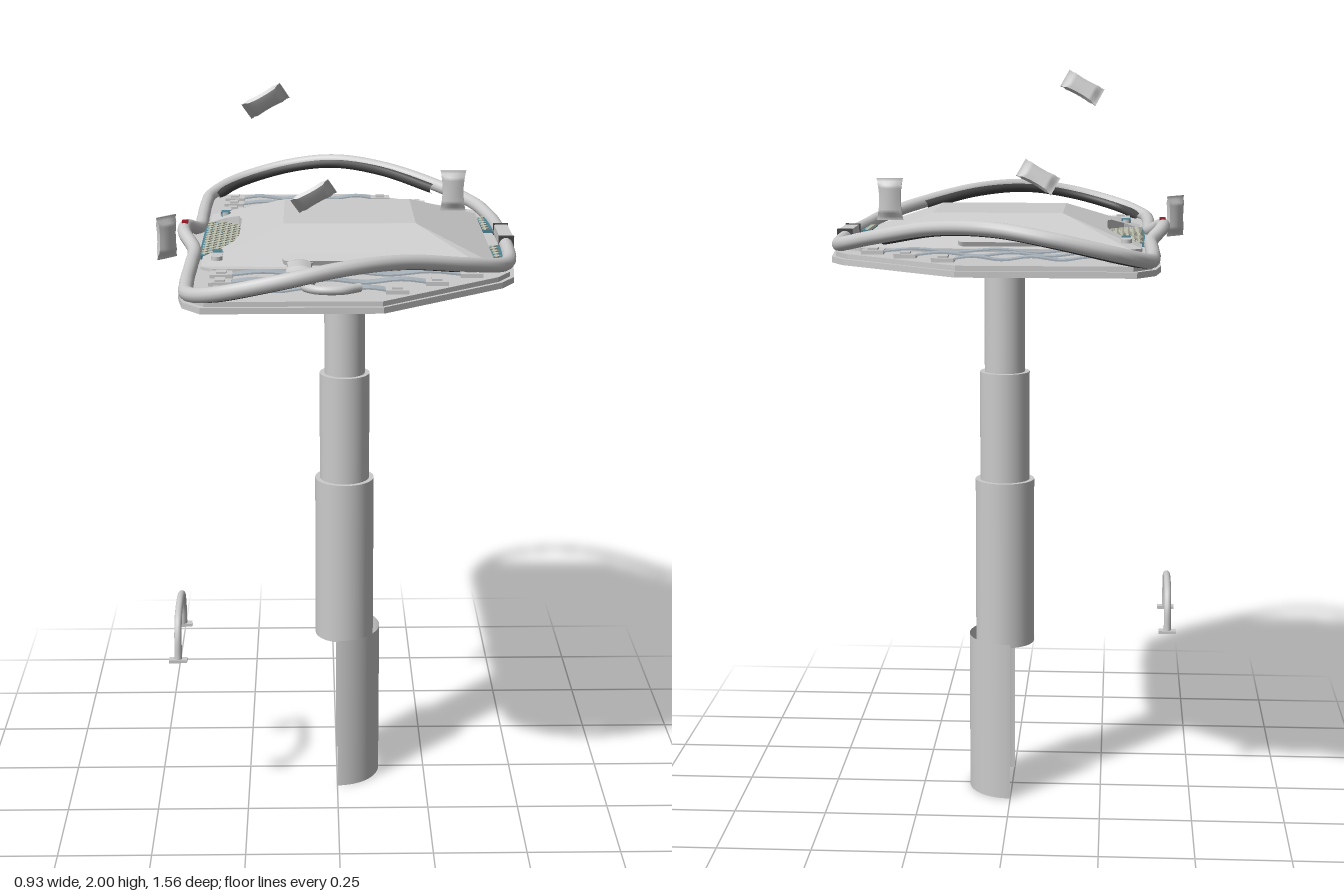
import * as THREE from 'three';

const mat = (color = 0xcccccc, opts = {}) => new THREE.MeshStandardMaterial({ color, ...opts });
const grey = mat();
const flat = mat(0xcccccc, { flatShading: true });
const dark = mat(0x444444);
const strapMat = mat(0xaab4bc);
const padMat = mat(0x4f8496);
const tileMat = mat(0xc4c6b4);
const redMat = mat(0xa01828);

export function createModel() {
  const model = new THREE.Group();
  const add = (name, geo, material = grey, x = 0, y = 0, z = 0, parent = model) => {
    const m = new THREE.Mesh(geo, material);
    m.name = name;
    m.position.set(x, y, z);
    parent.add(m);
    return m;
  };
  // Plate from an [x, z] outline, standing between y0 and y1
  const plate = (pts, y0, y1) => {
    const shape = new THREE.Shape(pts.map(([x, z]) => new THREE.Vector2(x, -z)));
    const g = new THREE.ExtrudeGeometry(shape, { depth: y1 - y0, bevelEnabled: false });
    return g.rotateX(-Math.PI / 2).translate(0, y0, 0);
  };
  const mirrorZ = half => [...half, ...half.map(([x, z]) => [x, -z]).reverse()];
  const capsule = (len, wid, h) => {
    const r = wid / 2, a = len / 2 - r, s = new THREE.Shape();
    s.absarc(a, 0, r, -Math.PI / 2, Math.PI / 2);
    s.absarc(-a, 0, r, Math.PI / 2, Math.PI * 1.5);
    return new THREE.ExtrudeGeometry(s, { depth: h, bevelEnabled: false, curveSegments: 8 }).rotateX(-Math.PI / 2);
  };

  // Telescoping column and the half shell at its foot
  [[0.055, 1.18, 1.53], [0.068, 0.88, 1.19], [0.081, 0.425, 0.89]].forEach(([r, y0, y1], i) =>
    add('columnStage' + (i + 1), new THREE.CylinderGeometry(r, r, y1 - y0, 40), grey, 0.021, (y0 + y1) / 2, 0));
  add('footShell', new THREE.CylinderGeometry(0.12, 0.12, 0.447, 32, 1, true, 0, Math.PI),
    mat(0xcccccc, { side: THREE.DoubleSide }), 0, 0.2235, 0);

  // Deck
  const outline = mirrorZ([[0.45, 0.2], [0.435, 0.37], [0.4, 0.43], [0.1, 0.677], [-0.33, 0.677], [-0.375, 0.62], [-0.388, 0.54]]);
  add('deckBase', plate(outline, 1.525, 1.54));
  add('deckTop', plate(outline.map(([x, z]) => [0.03 + (x - 0.03) * 0.975, z * 0.985]), 1.54, 1.552));

  // Raised hood: five sloped facets, the left one notched for the grip pad
  const hoodY = (x, z) => Math.min(1.634,
    1.56 + 0.36 * (x + 0.345), 1.56 + 0.38 * (0.395 - x), 1.56 + 0.38 * (0.36 - Math.abs(z)));
  const hood = new THREE.Group();
  hood.name = 'hood';
  model.add(hood);
  const L = -0.14, R = 0.2, T = 0.165;
  const notch = mirrorZ([[-0.345, 0.215], [-0.3, 0.2], [-0.265, 0.16], [-0.255, 0.1]]);
  const facets = {
    hoodTop: [[L, -T], [R, -T], [R, T], [L, T]],
    hoodRight: [[R, -T], [0.395, -0.33], [0.395, 0.33], [R, T]],
    hoodFront: [[L, T], [R, T], [0.395, 0.33], [0.365, 0.36], [-0.315, 0.36], [-0.345, 0.33]],
    hoodBack: [[L, -T], [R, -T], [0.395, -0.33], [0.365, -0.36], [-0.315, -0.36], [-0.345, -0.33]],
    hoodLeft: [[L, T], [-0.345, 0.33], ...notch, [-0.345, -0.33], [L, -T]],
  };
  for (const [name, pts] of Object.entries(facets)) {
    const g = plate(pts, 0, 1), p = g.attributes.position;
    for (let i = 0; i < p.count; i++)
      p.setY(i, p.getY(i) > 0.5 ? hoodY(p.getX(i), p.getZ(i)) : 1.545);
    g.computeVertexNormals();
    add(name, g, flat, 0, 0, 0, hood);
  }
  for (const s of [-1, 1]) {
    const bar = add('hoodBar', capsule(0.26, 0.03, 0.012), grey, -0.01, hoodY(0, 0.325) - 0.004, s * 0.325);
    bar.rotation.x = s * 0.36;
    // Small pills beside the pad
    add('sidePill', capsule(0.085, 0.028, 0.01), grey, -0.305, 1.572, s * 0.28).rotation.y = Math.PI / 2;
    add('sidePillInsert', new THREE.BoxGeometry(0.024, 0.012, 0.03), padMat, -0.305, 1.578, s * 0.255);
  }

  // Chequered grip pads on the left and right edges
  const gripPad = (pts, inside, x0, x1, z0, z1) => {
    add('gripPad', plate(pts, 1.545, 1.562), padMat);
    const step = 0.03;
    for (let i = 0; x0 + i * step / 2 < x1; i++)
      for (let z = z0 + (i % 2) * step / 2; z < z1; z += step) {
        const x = x0 + i * step / 2;
        if (inside(x, z))
          add('gripTile', new THREE.BoxGeometry(0.014, 0.004, 0.014), tileMat, x, 1.563, z).rotation.y = Math.PI / 4;
      }
  };
  gripPad(mirrorZ([[-0.355, 0.215], [-0.3, 0.2], [-0.265, 0.16], [-0.255, 0.1]]),
    (x, z) => Math.abs(z) < 0.2 - Math.max(0, x + 0.31) * 1.1, -0.34, -0.262, -0.195, 0.2);
  for (const s of [-1, 1])
    gripPad([[0.397, s * 0.1], [0.425, s * 0.1], [0.425, s * 0.27], [0.397, s * 0.27]],
      () => true, 0.405, 0.42, s * 0.185 - 0.07, s * 0.185 + 0.08);

  // Straps with buckles across both ends of the deck
  for (const s of [-1, 1])
    for (const [z, x1] of [[0.408, 0.35], [0.492, 0.26], [0.577, 0.16]]) {
      const x0 = -0.315, len = x1 - x0 - 0.05;
      const g = new THREE.BoxGeometry(len, 0.004, 0.036, 24, 1, 1), p = g.attributes.position;
      for (let i = 0; i < p.count; i++)
        p.setY(i, p.getY(i) + 0.008 * Math.sin((p.getX(i) / len + 0.5) * Math.PI * 3) ** 2);
      g.computeVertexNormals();
      add('strap', g, strapMat, (x0 + x1) / 2, 1.557, s * z);
      for (const x of [x0 + 0.025, x1 - 0.025]) {
        add('strapBuckle', new THREE.BoxGeometry(0.055, 0.012, 0.046), grey, x, 1.556, s * z);
        add('buckleBar', new THREE.BoxGeometry(0.025, 0.006, 0.028), grey, x, 1.564, s * z);
      }
    }

  // Rail looping around the deck and rising at both ends
  const half = [[-0.4, 1.585, 0.05], [-0.372, 1.562, 0.13], [-0.37, 1.557, 0.3], [-0.37, 1.557, 0.5],
    [-0.358, 1.562, 0.63], [-0.29, 1.585, 0.725], [-0.14, 1.622, 0.765], [0, 1.643, 0.73],
    [0.15, 1.637, 0.63], [0.3, 1.605, 0.515], [0.395, 1.577, 0.4], [0.43, 1.562, 0.28], [0.441, 1.56, 0.1]];
  const vec = a => a.map(([x, y, z]) => new THREE.Vector3(x, y, z));
  const tube = (pts, r, closed = false, n = 48) =>
    new THREE.TubeGeometry(new THREE.CatmullRomCurve3(vec(pts), closed, 'centripetal'), n, r, 12, closed);
  const back = half.map(([x, y, z]) => [x, y, -z]).reverse();
  add('rail', tube([...half, ...back], 0.018, true, 220));
  for (const s of [-1, 1]) {
    const grip = half.slice(4, 10).map(([x, y, z]) => [-0.1 + (x + 0.1) * 0.965, y - 0.007, s * (z - 0.009)]);
    add('railGrip', tube(grip, 0.014), dark);
  }
  // Clamp on the right of the rail, and the red button opposite
  add('railClamp', new THREE.BoxGeometry(0.036, 0.036, 0.15), grey, 0.443, 1.562, 0);
  for (const s of [-1, 1])
    add('clampBand', new THREE.BoxGeometry(0.04, 0.04, 0.012), dark, 0.443, 1.562, s * 0.08);
  add('redButton', new THREE.BoxGeometry(0.016, 0.024, 0.03), redMat, -0.402, 1.597, 0);

  // Loose pouches: pillows with a pinched waist and flat sealed ends
  const pouch = (pos, along, across) => {
    const g = new THREE.BoxGeometry(0.11, 0.07, 0.026, 12, 6, 2), p = g.attributes.position;
    for (let i = 0; i < p.count; i++) {
      const u = p.getX(i) / 0.055, v = p.getY(i) / 0.035;
      p.setY(i, p.getY(i) * (0.8 + 0.2 * u * u));
      p.setZ(i, p.getZ(i) * (Math.abs(u) > 0.8 ? 0.2 : 1) * (1 - 0.6 * v * v));
    }
    g.computeVertexNormals();
    const X = new THREE.Vector3(...along).normalize();
    const Z = X.clone().cross(new THREE.Vector3(...across)).normalize();
    const m = add('pouch', g, grey, ...pos);
    m.quaternion.setFromRotationMatrix(new THREE.Matrix4().makeBasis(X, Z.clone().cross(X), Z));
  };
  const tilt = [[0.09, 0.05, 0], [-0.03, 0.045, 0.055]];
  pouch([-0.182, 1.947, 0.165], ...tilt);
  pouch([-0.062, 1.705, 0.165], ...tilt);
  pouch([-0.44, 1.6, 0.165], [0, 1, 0], [0.045, 0, -0.05]);
  pouch([0.316, 1.665, -0.12], [0, 1, 0], [1, 0, 0]);
  pouch([-0.098, 1.578, 0.427], [0, 0, 1], [1, 0, 0]);

  // Loose hose on the deck
  add('hose', tube([[-0.085, 1.57, 0.525], [-0.07, 1.572, 0.56], [-0.085, 1.572, 0.6],
    [-0.055, 1.572, 0.635], [0, 1.572, 0.64], [0.045, 1.572, 0.61]], 0.011));

  // Detached step handle
  add('stepHandle', tube([[-0.433, 0.455, 0.008], [-0.433, 0.52, 0.017], [-0.433, 0.56, 0.045],
    [-0.433, 0.574, 0.1], [-0.433, 0.574, 0.16], [-0.433, 0.56, 0.217], [-0.433, 0.52, 0.245],
    [-0.433, 0.455, 0.254]], 0.01));
  for (const z of [0.008, 0.254])
    add('handleFoot', new THREE.BoxGeometry(0.048, 0.008, 0.024), grey, -0.433, 0.454, z);
  return model;
}
